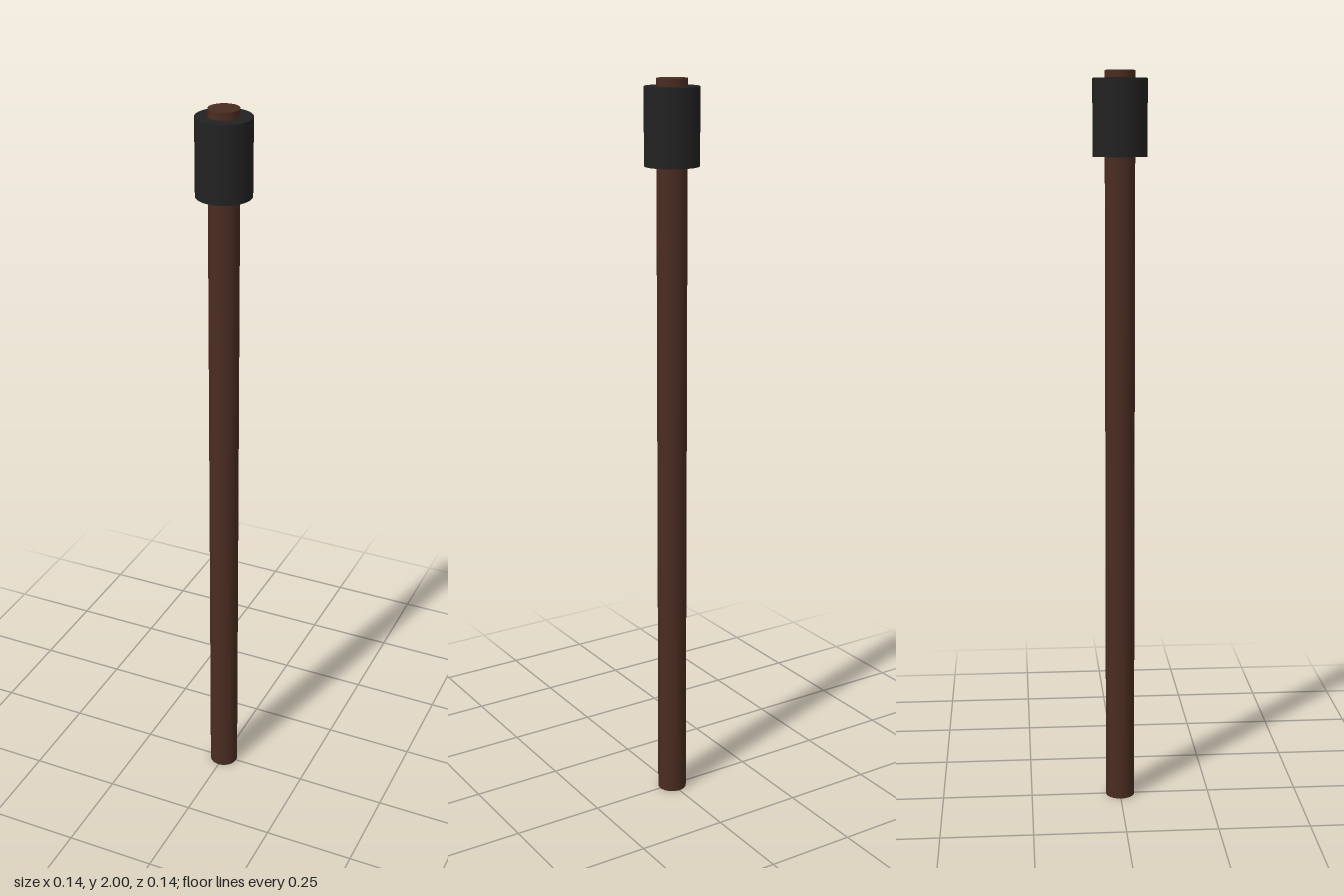
import * as THREE from 'three';

export function createModel() {
  const model = new THREE.Group();
  model.name = 'hammer';

  const wood = new THREE.MeshStandardMaterial({ color: 0x4a2c20 });
  wood.name = 'dark wood';
  const iron = new THREE.MeshStandardMaterial({ color: 0x222222 });
  iron.name = 'black iron';

  // Upright cylinder spanning y0 to y1
  const addCylinder = (name, radius, y0, y1, sides, material) => {
    const mesh = new THREE.Mesh(new THREE.CylinderGeometry(radius, radius, y1 - y0, sides), material);
    mesh.name = name;
    mesh.position.y = (y0 + y1) / 2;
    model.add(mesh);
  };

  // Long shaft, its tip just proud of the collar
  addCylinder('shaft', 0.04, 0, 2, 24, wood);

  // Thick collar near the top
  addCylinder('collar', 0.072, 1.78, 1.98, 48, iron);

  return model;
}
